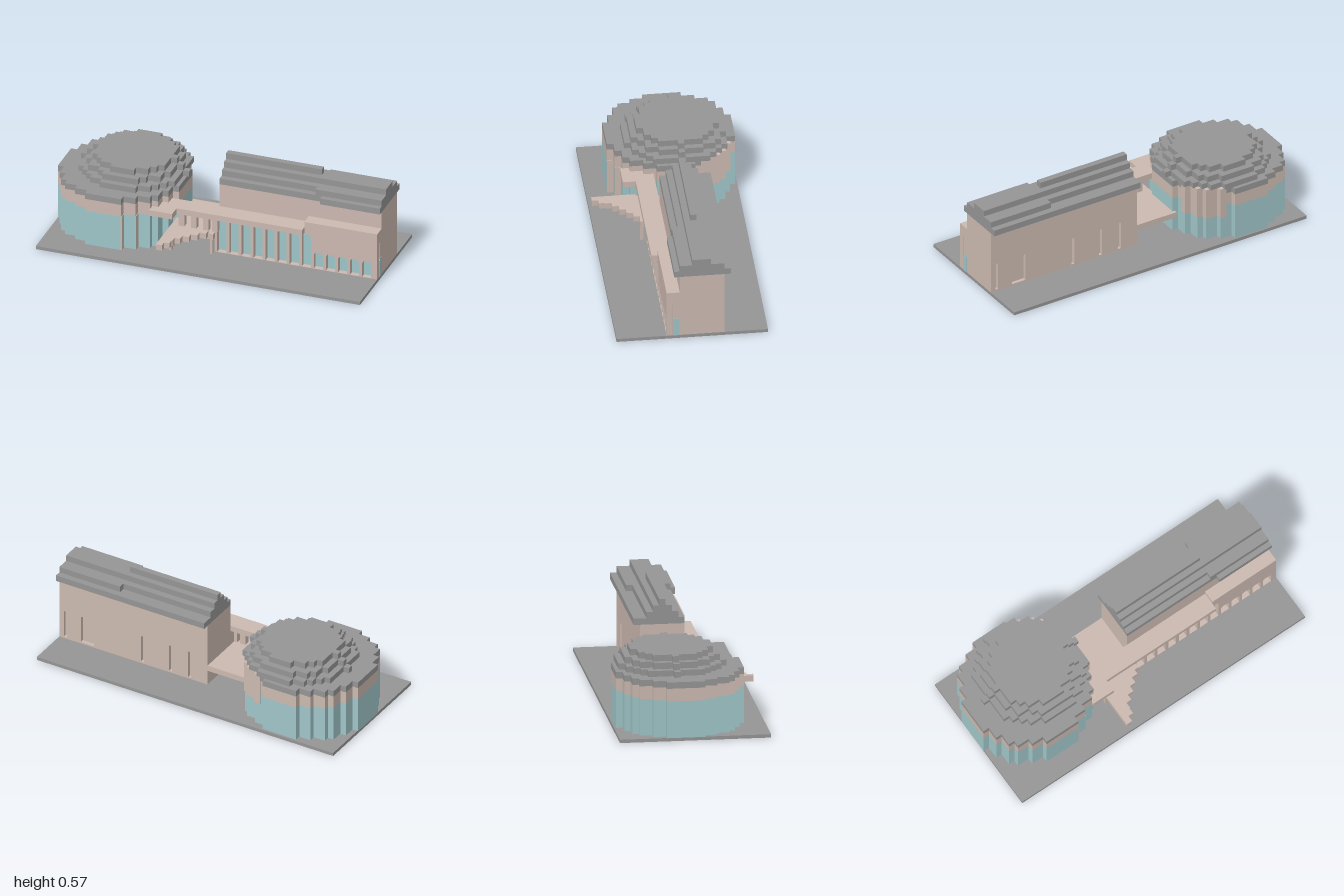
import * as THREE from 'three';
import { mergeGeometries } from 'three/addons/utils/BufferGeometryUtils.js';

const material = (name, color) => {
  const m = new THREE.MeshStandardMaterial({ color });
  m.name = name;
  return m;
};

// Box given by its lower and upper corners
function block(x0, x1, y0, y1, z0, z1) {
  return new THREE.BoxGeometry(x1 - x0, y1 - y0, z1 - z0)
    .translate((x0 + x1) / 2, (y0 + y1) / 2, (z0 + z1) / 2);
}

// Disc with a blocky outline, made of rows; clip keeps only x > clip.x and z < clip.z
function steppedDisc(cx, cz, r, y0, y1, { clip, grow = 0 } = {}) {
  const n = Math.round((2 * r) / 0.0371), s = (2 * r) / n, rows = [];
  for (let i = 0; i < n; i++) {
    const d = -r + (i + 0.5) * s;
    const half = Math.max(1, Math.round(Math.sqrt(r * r - d * d) / s)) * s;
    const z0 = cz + d - s / 2 - grow, z1 = cz + d + s / 2;
    const x0 = clip ? Math.max(cx - half, clip.x) : cx - half;
    const x1 = cx + half + grow;
    if ((clip && z1 > clip.z) || x1 <= x0) continue;
    rows.push(block(x0, x1, y0, y1, z0, z1));
  }
  return mergeGeometries(rows);
}

// Rectangle outline, optionally with an arched top
function opening(Type, x0, x1, y0, y1, arch = 0) {
  const p = new Type();
  p.moveTo(x0, y0);
  p.lineTo(x1, y0);
  p.lineTo(x1, y1 - arch);
  if (arch) {
    p.lineTo(x1 - arch * 0.7, y1);
    p.lineTo(x0 + arch * 0.7, y1);
    p.lineTo(x0, y1 - arch);
  } else {
    p.lineTo(x1, y1);
    p.lineTo(x0, y1);
  }
  p.closePath();
  return p;
}

export function createModel() {
  const grey = material('roof grey', 0x959595);
  const stone = material('warm stone', 0xcbb9b0);
  const glass = material('pale teal glass', 0x9fc5c8);
  const model = new THREE.Group();
  const add = (parent, name, geometry, mat) => {
    const mesh = new THREE.Mesh(geometry, mat);
    mesh.name = name;
    parent.add(mesh);
  };
  const group = (name) => {
    const g = new THREE.Group();
    g.name = name;
    model.add(g);
    return g;
  };

  add(model, 'basePlate', block(-1, 1, 0, 0.02, -0.442, 0.442), grey);

  // Round hall with a stepped dome
  const hall = group('roundHall');
  const cx = -0.63, cz = -0.055, r = 0.3745;
  add(hall, 'hallGlazing', steppedDisc(cx, cz, r, 0.02, 0.24), glass);
  add(hall, 'hallUpperWall', steppedDisc(cx, cz, r, 0.24, 0.317), stone);
  add(hall, 'hallRoofRing', steppedDisc(cx, cz, r, 0.317, 0.355), grey);
  add(hall, 'hallRearWall',
    steppedDisc(cx, cz, r, 0.16, 0.357, { clip: { x: -0.48, z: -0.18 }, grow: 0.003 }), stone);
  [[0.315, 0.355, 0.39], [0.278, 0.39, 0.427], [0.241, 0.427, 0.464]].forEach(([rad, y0, y1], i) =>
    add(hall, 'domeStep' + (i + 1), steppedDisc(-0.575, -0.092, rad, y0, y1), grey));
  // Solid side faces beside the entrance
  const sides = [];
  for (let i = 19; i < 21; i++) {
    const step = (2 * r) / 20, d = -r + (i - 0.5) * step;
    if (Math.abs(d) >= r) continue;
    const x = cx + Math.round(Math.sqrt(r * r - d * d) / step) * step;
    sides.push(block(x - 0.004, x + 0.004, 0.02, 0.24, cz + d - step / 2, cz + d + step / 2));
  }
  add(hall, 'entrancePiers', mergeGeometries(sides), stone);

  // Long hall, with recessed slits and a door in its rear wall
  const long = group('longHall');
  add(long, 'longHallBody', block(0, 1, 0.02, 0.425, -0.165, 0.073), stone);
  const rear = opening(THREE.Shape, 0, 1, 0.02, 0.425);
  [[0.95, 0.97], [0.765, 0.855], [0.43, 0.45], [0.24, 0.26], [0.11, 0.13]].forEach(([a, b]) =>
    rear.holes.push(opening(THREE.Path, a, b, 0.03, 0.205)));
  add(long, 'rearWall', new THREE.ExtrudeGeometry(rear, { depth: 0.022, bevelEnabled: false })
    .translate(0, 0, -0.187), stone);

  // Stepped roofs: x range, y range, z range
  const roof = [
    [0, 0.59, 0.425, 0.463, -0.225, 0.073], [0, 0.59, 0.463, 0.5, -0.15, 0.037],
    [0, 0.59, 0.5, 0.537, -0.11, 0], [0, 0.59, 0.537, 0.575, -0.074, -0.037],
    [0.59, 0.63, 0.425, 0.463, -0.225, 0.073], [0.63, 1, 0.425, 0.463, -0.225, 0.105],
    [0.59, 1, 0.463, 0.5, -0.187, 0.073], [0.59, 1, 0.5, 0.537, -0.11, 0],
  ];
  add(long, 'steppedRoof', mergeGeometries(roof.map((b) => block(...b))), grey);

  // Front wing with two heights of arcade
  const wing = group('frontWing');
  const arcade = opening(THREE.Shape, 0, 1, 0.02, 0.245);
  for (let i = 0; i < 13; i++) {
    const x = i * 0.0745 + 0.013;
    arcade.holes.push(opening(THREE.Path, x, x + 0.056, 0.022, i < 8 ? 0.238 : 0.128, 0.016));
  }
  add(wing, 'arcade', new THREE.ExtrudeGeometry(arcade, { depth: 0.034, bevelEnabled: false })
    .translate(0, 0, 0.116), stone);
  add(wing, 'arcadeGlass', block(0.005, 0.99, 0.022, 0.242, 0.112, 0.118), glass);
  add(wing, 'wingBody', block(0, 1, 0.02, 0.245, 0.073, 0.114), stone);
  add(wing, 'wingBlock', block(0.55, 1, 0.245, 0.317, 0.073, 0.15), stone);
  const door = opening(THREE.Shape, 0, 0.038, 0.02, 0.138, 0.012);
  add(wing, 'sideDoor', new THREE.ExtrudeGeometry(door, { depth: 0.004, bevelEnabled: false })
    .rotateY(Math.PI / 2).translate(0.998, 0, 0.113), glass);

  // Link between the halls: upper walkway, lower deck and posts
  const link = group('link');
  add(link, 'walkway', block(-0.37, 0.55, 0.245, 0.281, 0.073, 0.185), stone);
  add(link, 'walkwayLanding', block(-0.37, -0.225, 0.245, 0.281, 0.185, 0.26), stone);
  add(link, 'deck', block(-0.27, 0, 0.115, 0.15, -0.187, 0.185), stone);
  const posts = [-0.225, -0.15, -0.075, -0.02].map((x) => block(x, x + 0.035, 0.15, 0.245, 0.115, 0.15));
  add(link, 'walkwayPosts', mergeGeometries(posts), stone);

  // Stepped triangular canopy on thin legs
  const canopy = [-0.03, -0.07, -0.11, -0.15, -0.185, -0.19, -0.222].map((x, i) =>
    block(-0.26, x, 0.132, 0.168, 0.183 + i * 0.037, 0.22 + i * 0.037));
  add(link, 'canopy', mergeGeometries(canopy), stone);
  const legs = [-0.26, -0.02].map((x) => block(x, x + 0.016, 0.02, 0.135, 0.165, 0.185));
  legs.push(block(-0.258, -0.242, 0.02, 0.135, 0.2, 0.222));
  add(link, 'canopyLegs', mergeGeometries(legs), stone);

  return model;
}
